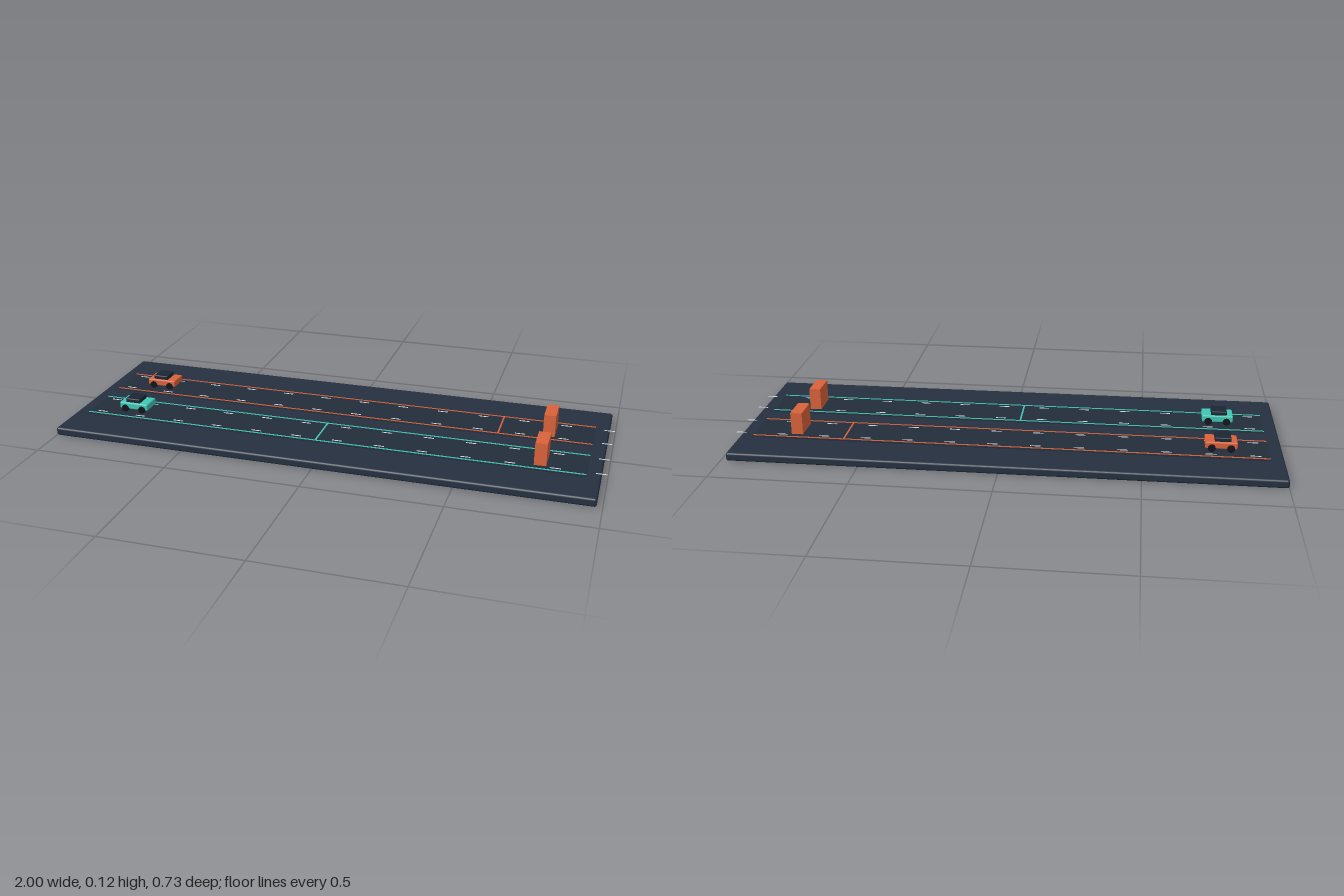
import * as THREE from 'three';
import { RoundedBoxGeometry } from 'three/addons/geometries/RoundedBoxGeometry.js';

const material = (name, color) => {
  const m = new THREE.MeshStandardMaterial({ color });
  m.name = name;
  return m;
};

export function createModel() {
  const navy = material('navy base', 0x253040);
  const asphalt = material('lane asphalt', 0x232e3c);
  const orange = material('orange', 0xd9623a);
  const teal = material('teal', 0x3fc8b4);
  const white = material('dash white', 0xdde3ea);
  const glass = material('dark cabin', 0x1c2634);
  const rubber = material('tyre', 0x10151c);

  const add = (parent, name, geometry, mat, x, y, z) => {
    const mesh = new THREE.Mesh(geometry, mat);
    mesh.name = name;
    mesh.position.set(x, y, z);
    parent.add(mesh);
    return mesh;
  };
  const box = (parent, name, size, mat, x, y, z) =>
    add(parent, name, new THREE.BoxGeometry(...size), mat, x, y, z);

  const model = new THREE.Group();
  model.name = 'twoLaneTrack';

  // Rounded board
  add(model, 'base', new RoundedBoxGeometry(1.98, 0.031, 0.73, 3, 0.008), navy, -0.01, 0.0155, 0);

  // Small car with four wheels and a dark cabin
  const makeCar = (paint) => {
    const car = new THREE.Group();
    car.name = 'car';
    add(car, 'carBody', new RoundedBoxGeometry(0.115, 0.026, 0.076, 2, 0.005), paint, 0, 0.06, 0);
    add(car, 'carCabin', new RoundedBoxGeometry(0.058, 0.019, 0.062, 2, 0.004), glass, -0.005, 0.0785, 0);
    const wheel = new THREE.CylinderGeometry(0.014, 0.014, 0.012, 20).rotateX(Math.PI / 2);
    for (const x of [-0.034, 0.034])
      for (const z of [-0.035, 0.035]) add(car, 'wheel', wheel, rubber, x, 0.05, z);
    return car;
  };

  // Lane with coloured edges, dashes, stopping line, car and barrier
  const makeLane = (name, z, paint, lineX) => {
    const lane = new THREE.Group();
    lane.name = name;
    lane.position.z = z;
    box(lane, 'laneSurface', [1.88, 0.005, 0.172], asphalt, -0.01, 0.0325, 0);
    for (const side of [-1, 1]) {
      box(lane, 'laneEdge', [1.88, 0.002, 0.005], paint, -0.01, 0.036, side * 0.078);
      for (let i = 0; i < 13; i++)
        box(lane, 'laneDash', [0.038, 0.0015, 0.004], white, -0.9 + i * 0.1567, 0.0357, side * 0.059);
    }
    box(lane, 'stoppingLine', [0.006, 0.002, 0.156], paint, lineX, 0.0362, 0);
    box(lane, 'barrier', [0.043, 0.083, 0.103], orange, 0.77, 0.0765, 0);
    const car = makeCar(paint);
    car.position.x = -0.78;
    lane.add(car);
    model.add(lane);
  };
  makeLane('frontLane', 0.125, teal, -0.037);
  makeLane('backLane', -0.125, orange, 0.588);

  return model;
}
